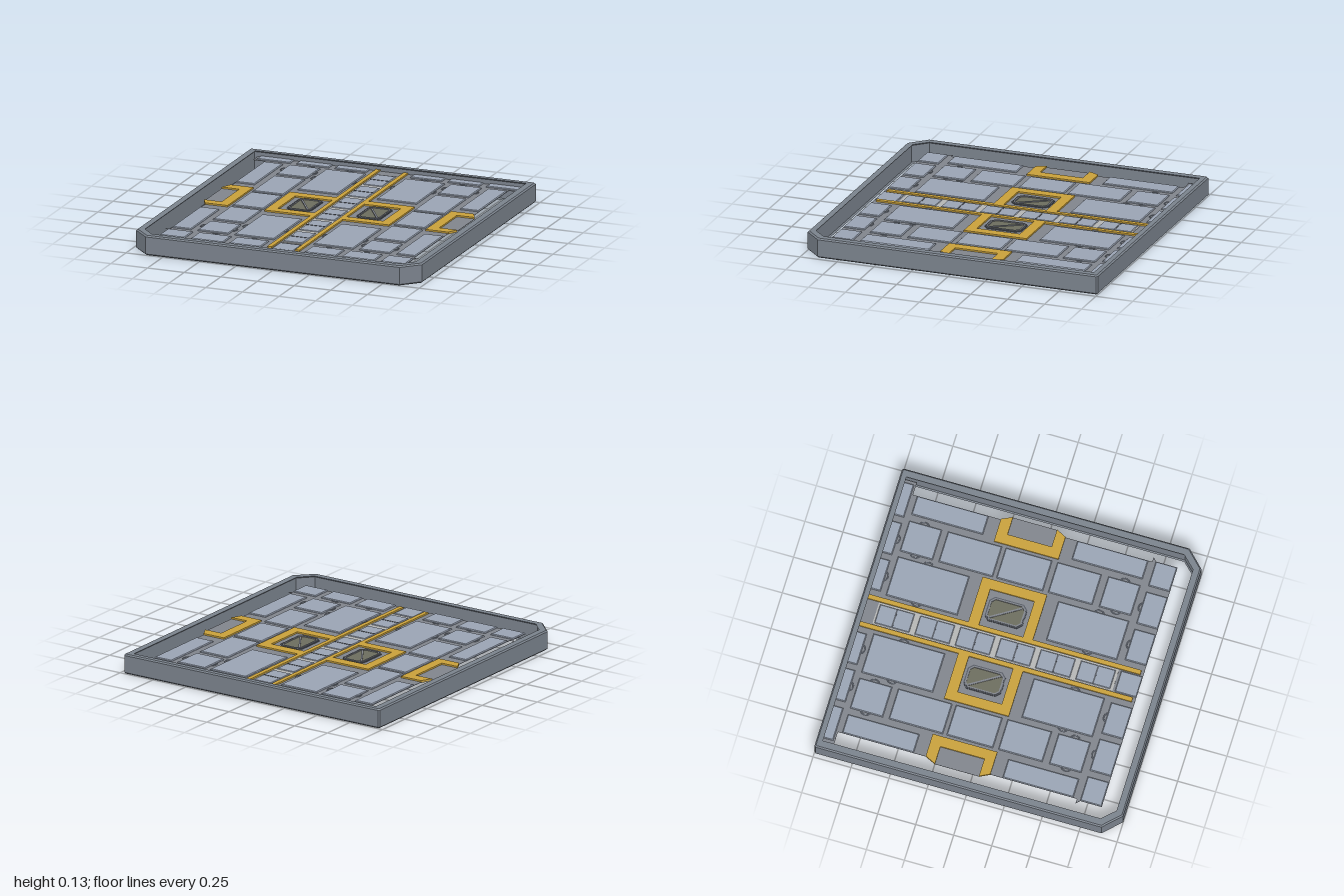
import * as THREE from 'three';

const mat = (color) => new THREE.MeshStandardMaterial({ color, side: THREE.DoubleSide });
const MAT = {
  frame: mat(0x7a828c), base: mat(0x80848c), panel: mat(0x99a3b3), yellow: mat(0xc8a03a),
  light: mat(0xb4b5b4), dark: mat(0x565b64), hatch: mat(0x6c6d5e),
};

// Corner lists are [x, z] pairs seen from above
const rect = (x0, x1, z0, z1) => [[x0, z0], [x1, z0], [x1, z1], [x0, z1]];
const flip = (pts, s) => pts.map(([x, z]) => [x * s, z]);
const octagon = (cx, cz, w, d, c) => [
  [cx - w + c, cz - d], [cx + w - c, cz - d], [cx + w, cz - d + c], [cx + w, cz + d - c],
  [cx + w - c, cz + d], [cx - w + c, cz + d], [cx - w, cz + d - c], [cx - w, cz - d + c],
];

// Flat plate between two heights, with optional hole and chamfered edges
function plate(name, material, pts, y0, y1, { hole, bevel = 0 } = {}) {
  const toVec = (list) => list.map(([x, z]) => new THREE.Vector2(x, -z));
  const shape = new THREE.Shape(toVec(pts));
  if (hole) shape.holes.push(new THREE.Path(toVec(hole)));
  const bt = Math.min(bevel, (y1 - y0) * 0.4);
  const geo = new THREE.ExtrudeGeometry(shape, {
    depth: y1 - y0 - 2 * bt, bevelEnabled: bevel > 0, bevelSize: bevel,
    bevelThickness: bt, bevelOffset: -bevel, bevelSegments: 1,
  });
  geo.rotateX(-Math.PI / 2).translate(0, y0 + bt, 0);
  const mesh = new THREE.Mesh(geo, material);
  mesh.name = name;
  return mesh;
}

export function createModel() {
  const model = new THREE.Group();
  model.name = 'floorTile';

  // Surrounding wall with cut front corners
  const outer = [[-0.965, -1], [0.965, -1], [0.975, -0.99], [0.975, 0.89], [0.865, 1],
    [-0.865, 1], [-0.975, 0.89], [-0.975, -0.99]];
  const inner = [[-0.932, -0.967], [0.932, -0.967], [0.932, 0.873], [0.848, 0.96],
    [-0.848, 0.96], [-0.932, 0.873]];
  model.add(plate('outerFrame', MAT.frame, outer, 0, 0.13, { hole: inner, bevel: 0.009 }));

  const floor = new THREE.Group();
  floor.name = 'floor';
  floor.position.x = 0.004;
  model.add(floor);
  const add = (...args) => floor.add(plate(...args));

  // Thin base sheet, outlined down one side and mirrored
  const side = [[0.915, -0.97], [0.915, -0.888], [0.83, -0.888], [0.83, -0.31], [0.863, -0.24],
    [0.863, 0.05], [0.83, 0.11], [0.83, 0.685], [0.863, 0.685], [0.838, 0.708], [0.838, 0.85]];
  add('baseSheet', MAT.base, [...side, ...flip(side, -1).reverse()], 0.089, 0.091);

  // Panel grid of one half: column edges with the rows in that column
  const columns = [
    [0.135, 0.405, [[-0.86, -0.39], [0.195, 0.66]]],
    [0.445, 0.655, [[-0.86, -0.645], [-0.605, -0.25], [-0.225, 0.08], [0.115, 0.405], [0.45, 0.66]]],
    [0.70, 0.829, [[-0.86, -0.39], [0.195, 0.66]]],
    [0.15, 0.365, [[-0.968, -0.9], [0.708, 0.849]]],
    [0.405, 0.625, [[-0.968, -0.9], [0.708, 0.849]]],
    [0.668, 0.837, [[0.708, 0.849]]],
    [0.668, 0.895, [[-0.968, -0.9]]],
  ];
  // Clips that overlap panel edges: x, z, rotation of the half ring
  const clips = [
    [0.445, -0.76, -1], [0.655, -0.76, 1], [0.445, 0.56, -1], [0.655, 0.56, 1],
    [0.135, -0.66, -1], [0.135, 0.465, -1], [0.405, -0.66, 1], [0.405, 0.465, 1],
    [0.255, -0.9, 0], [0.515, -0.9, 0], [0.255, 0.708, 0], [0.515, 0.708, 0],
  ];
  const clipGeo = new THREE.TorusGeometry(0.022, 0.004, 4, 10, Math.PI)
    .rotateX(-Math.PI / 2).scale(1.2, 1, 0.8);

  for (const s of [1, -1]) {
    for (const [x0, x1, rows] of columns) {
      for (const [z0, z1] of rows) {
        add('floorPanel', MAT.panel, flip(rect(x0, x1, z0, z1), s), 0.086, 0.099, { bevel: 0.005 });
      }
    }
    for (const [x, z, turn] of clips) {
      const clip = new THREE.Mesh(clipGeo, MAT.panel);
      clip.name = 'panelClip';
      clip.position.set(x * s, 0.094, z);
      clip.rotation.y = -turn * s * Math.PI / 2 + (turn === 0 && z < 0 ? Math.PI : 0);
      floor.add(clip);
    }

    // Yellow centre line and the loop around the hatch
    add('yellowTrim', MAT.yellow, flip([[0.08, -0.968], [0.11, -0.968], [0.11, -0.31],
      [0.425, -0.31], [0.425, 0.115], [0.11, 0.115], [0.11, 0.83], [0.08, 0.83]], s),
    0.086, 0.101, { hole: flip(rect(0.11, 0.36, -0.24, 0.05), s) });

    // Yellow bracket on the outer edge
    add('yellowBracket', MAT.yellow, flip([[0.675, -0.31], [0.83, -0.31], [0.863, -0.24],
      [0.742, -0.24], [0.742, 0.05], [0.863, 0.05], [0.83, 0.115], [0.675, 0.115]], s),
    0.086, 0.101);

    // Hatch: double rim, cover and a diagonal brace
    const cx = 0.237 * s;
    const cz = -0.1;
    add('hatchRim', MAT.dark, octagon(cx, cz, 0.083, 0.125, 0.03), 0.086, 0.097,
      { hole: octagon(cx, cz, 0.075, 0.117, 0.026) });
    add('hatchRim', MAT.base, octagon(cx, cz, 0.075, 0.117, 0.026), 0.087, 0.101,
      { hole: octagon(cx, cz, 0.066, 0.107, 0.022) });
    add('hatchCover', MAT.hatch, octagon(cx, cz, 0.066, 0.107, 0.022), 0.087, 0.094);
    const brace = new THREE.Mesh(new THREE.BoxGeometry(0.012, 0.014, 0.215), MAT.base);
    brace.name = 'hatchBrace';
    brace.position.set(cx, 0.092, cz);
    brace.rotation.y = 0.56;
    floor.add(brace);
  }

  // Central walkway: light strip, six tiles each split by a bar, plain end
  add('walkwayStrip', MAT.light, rect(-0.075, 0.075, -0.887, 0.692), 0.087, 0.094);
  for (let i = 0; i < 6; i++) {
    const z = -0.762 + i * 0.2645;
    add('walkwayTile', MAT.panel, rect(-0.066, 0.066, z - 0.115, z + 0.115), 0.085, 0.098, { bevel: 0.005 });
    add('walkwayBar', MAT.dark, rect(-0.062, 0.062, z - 0.005, z + 0.005), 0.084, 0.1);
  }
  add('walkwayEnd', MAT.panel, rect(-0.072, 0.072, 0.708, 0.849), 0.086, 0.096, { bevel: 0.004 });

  return model;
}
